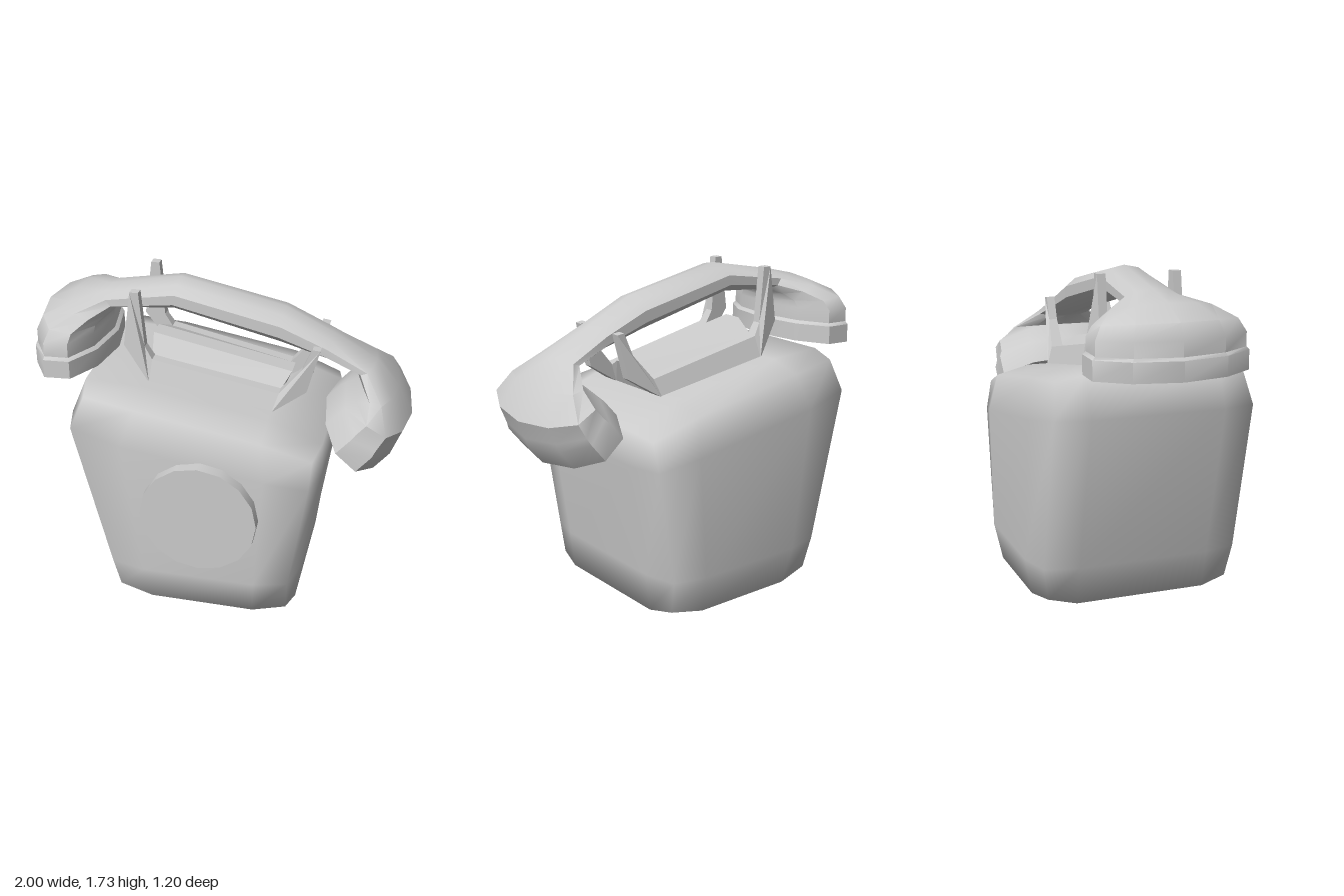
import * as THREE from 'three';
import { mergeVertices, toCreasedNormals } from 'three/addons/utils/BufferGeometryUtils.js';
import { ConvexGeometry } from 'three/addons/geometries/ConvexGeometry.js';

const grey = new THREE.MeshStandardMaterial({ color: 0xcccccc });
const Z0 = -0.02; // middle plane of handset and cradle

function part(name, geometry, parent) {
  const mesh = new THREE.Mesh(geometry, grey);
  mesh.name = name;
  parent.add(mesh);
  return mesh;
}

// Soft-edged tapering housing: a 3x3x3 box with its edges drawn inwards
function bodyGeometry() {
  const columns = [ // x across each level, bottom to top
    [-0.55, -0.29, 0.27, 0.52],
    [-0.55, -0.32, 0.28, 0.50],
    [-0.74, -0.42, 0.32, 0.59],
    [-0.70, -0.35, 0.30, 0.63],
  ];
  const depths = [-0.6, -0.38, 0.32, 0.54];
  let geo = new THREE.BoxGeometry(2, 2, 2, 3, 3, 3);
  geo.deleteAttribute('uv');
  geo.deleteAttribute('normal');
  geo = mergeVertices(geo);
  const p = geo.attributes.position;
  for (let n = 0; n < p.count; n++) {
    const [i, j, k] = [p.getX(n), p.getY(n), p.getZ(n)].map((c) => Math.round((c + 1) * 1.5));
    const side = (v) => (v === 0 ? -1 : v === 3 ? 1 : 0);
    const outer = [i, j, k].filter((v) => side(v)).length;
    const pull = [0, 0, 0.045, 0.075][outer];
    const x = columns[j][i];
    const slope = -0.17 * (x + 0.35);
    const y = [0, 0.25, 1.0 + slope * 0.9, 1.25 + slope][j];
    p.setXYZ(n, x - side(i) * pull, y - side(j) * pull, depths[k] - side(k) * pull);
  }
  geo.computeVertexNormals();
  return geo;
}

// Handset: rings swept through pairs of outer and inner points with a half width
function handsetGeometry() {
  const sections = [ // outer x, y, inner x, y, half width
    [-1.0, 1.27, -0.58, 1.29, 0.4],
    [-1.0, 1.37, -0.58, 1.385, 0.4],
    [-0.985, 1.385, -0.6, 1.4, 0.385],
    [-0.985, 1.46, -0.6, 1.47, 0.385],
    [-0.95, 1.54, -0.6, 1.5, 0.35],
    [-0.8, 1.61, -0.58, 1.53, 0.26],
    [-0.62, 1.655, -0.55, 1.55, 0.14],
    [-0.23, 1.73, -0.25, 1.57, 0.13],
    [0.32, 1.62, 0.3, 1.44, 0.13],
    [0.57, 1.5, 0.53, 1.38, 0.13],
    [0.8, 1.375, 0.7, 1.335, 0.15],
    [0.92, 1.24, 0.74, 1.28, 0.28],
    [1.0, 1.08, 0.7, 1.25, 0.38],
    [0.965, 0.985, 0.645, 1.215, 0.385],
    [0.95, 0.94, 0.62, 1.2, 0.4],
    [0.87, 0.84, 0.55, 1.12, 0.4],
  ];
  const ring = [[1, 0], [0.8, 0.6], [0.33, 1], [-0.33, 1], [-0.8, 0.6],
    [-1, 0], [-0.8, -0.6], [-0.33, -1], [0.33, -1], [0.8, -0.6]];
  const pos = [], index = [], N = ring.length;
  const middle = ([ax, ay, bx, by]) => [(ax + bx) / 2, (ay + by) / 2];
  for (const s of sections) {
    const [mx, my] = middle(s);
    for (const [u, v] of ring) pos.push(mx + (s[0] - mx) * u, my + (s[1] - my) * u, Z0 + v * s[4]);
  }
  const last = sections.length - 1;
  for (let i = 0; i < last; i++) {
    for (let j = 0; j < N; j++) {
      const a = i * N + j, b = i * N + (j + 1) % N;
      index.push(a, b, b + N, a, b + N, a + N);
    }
  }
  // Flat faces of the two cups
  const c = pos.length / 3;
  pos.push(...middle(sections[0]), Z0, ...middle(sections[last]), Z0);
  for (let j = 0; j < N; j++) {
    const k = (j + 1) % N;
    index.push(c, k, j, c + 1, last * N + j, last * N + k);
  }
  const geo = new THREE.BufferGeometry();
  geo.setAttribute('position', new THREE.Float32BufferAttribute(pos, 3));
  geo.setIndex(index);
  return toCreasedNormals(geo, 0.75);
}

// Cradle side: two prongs joined by a sloping bar, its outer face flaring at the foot
function cradleSideGeometry(sign) {
  const outline = [[-0.44, 1.715], [-0.48, 1.42], [-0.34, 1.24], [0.3, 1.13], [0.47, 1.24],
    [0.53, 1.475], [0.49, 1.48], [0.44, 1.36], [0.33, 1.225], [-0.33, 1.355], [-0.37, 1.42], [-0.395, 1.715]];
  const shape = new THREE.Shape(outline.map(([x, y]) => new THREE.Vector2(x, y)));
  const geo = new THREE.ExtrudeGeometry(shape, { depth: 1, bevelEnabled: false });
  const p = geo.attributes.position;
  for (let n = 0; n < p.count; n++) {
    const x = p.getX(n), y = p.getY(n);
    const isOuter = (p.getZ(n) > 0.5) === (sign > 0);
    const flare = Math.max(0, 1.42 - 0.17 * (x + 0.48) - y) * 0.33;
    const dist = 0.18 - 0.04 * (x + 0.48) + (isOuter ? 0.045 + flare : 0);
    p.setZ(n, Z0 + sign * dist);
  }
  geo.computeVertexNormals();
  return geo;
}

// Cradle deck: low ridge between the two sides
function cradleDeckGeometry() {
  const points = [];
  for (const s of [-1, 1]) {
    points.push(
      new THREE.Vector3(-0.37, 1.42, Z0 + s * 0.05), new THREE.Vector3(0.37, 1.275, Z0 + s * 0.05),
      new THREE.Vector3(-0.34, 1.35, Z0 + s * 0.19), new THREE.Vector3(0.33, 1.22, Z0 + s * 0.16),
      new THREE.Vector3(-0.33, 1.22, Z0 + s * 0.19), new THREE.Vector3(0.3, 1.12, Z0 + s * 0.16));
  }
  return new ConvexGeometry(points);
}

export function createModel() {
  const model = new THREE.Group();
  model.name = 'telephone';
  part('body', bodyGeometry(), model);

  const dial = part('dial', new THREE.CylinderGeometry(0.306, 0.306, 0.12, 16), model);
  dial.rotation.x = Math.PI / 2;
  dial.position.set(-0.003, 0.665, 0.54);

  const cradle = new THREE.Group();
  cradle.name = 'cradle';
  part('frontCradleSide', cradleSideGeometry(1), cradle);
  part('backCradleSide', cradleSideGeometry(-1), cradle);
  part('cradleDeck', cradleDeckGeometry(), cradle);
  model.add(cradle);

  part('handset', handsetGeometry(), model);
  return model;
}
